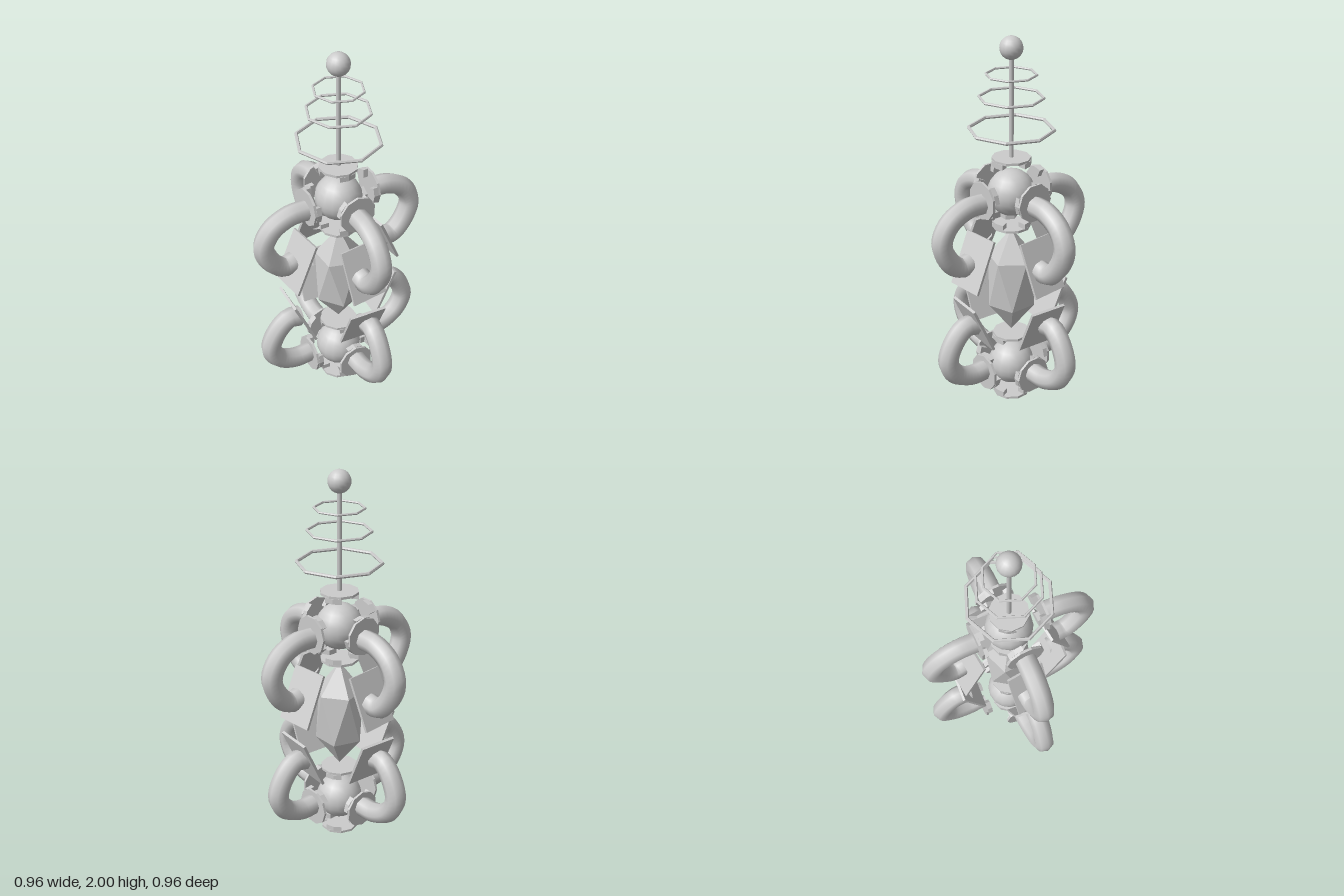
import * as THREE from 'three';

const grey = new THREE.MeshStandardMaterial({ color: 0xcccccc });
const facet = new THREE.MeshStandardMaterial({ color: 0xcccccc, flatShading: true });
const MID = 0.695;   // height of the middle of the body
const HUB = 0.503;   // distance of each ball from the middle
const UP = new THREE.Vector3(0, 1, 0);

function add(parent, name, geometry, material = facet, y = 0) {
  const mesh = new THREE.Mesh(geometry, material);
  mesh.name = name;
  mesh.position.y = y;
  parent.add(mesh);
  return mesh;
}

// block following the rim of a socket disc
function tabGeometry() {
  const a = 0.45, s = new THREE.Shape();
  [[0.1, -a], [0.1, 0], [0.1, a], [0.055, a], [0.055, -a]].forEach(([r, t], i) => {
    const x = r * Math.cos(t), y = r * Math.sin(t);
    i ? s.lineTo(x, y) : s.moveTo(x, y);
  });
  const g = new THREE.ExtrudeGeometry(s, { depth: 0.027, bevelEnabled: false });
  return g.rotateX(-Math.PI / 2);
}

// disc facing away from the ball, with three tabs on its inner face
function socket(direction) {
  const group = new THREE.Group();
  group.name = 'socket';
  add(group, 'socketDisc', new THREE.CylinderGeometry(0.1, 0.1, 0.013, 10), facet, 0.1835);
  for (let i = 0; i < 3; i++) {
    const tab = add(group, 'socketTab', tabGeometry(), facet, 0.151);
    tab.rotation.y = -Math.PI / 2 + i * Math.PI * 2 / 3;
  }
  group.quaternion.setFromUnitVectors(UP, direction);
  return group;
}

// curved arm reaching towards +z and ending on a tilted panel
function arm() {
  const group = new THREE.Group();
  group.name = 'arm';
  const path = [[0.183, 0.487], [0.28, 0.483], [0.38, 0.43], [0.426, 0.335],
    [0.385, 0.225], [0.315, 0.163], [0.255, 0.17]];
  const points = path.map(([z, y], i) => new THREE.Vector3(-0.004 * i, y, z));
  add(group, 'armTube', new THREE.TubeGeometry(new THREE.CatmullRomCurve3(points), 24, 0.054, 8),
    new THREE.MeshStandardMaterial({ color: 0xcccccc, side: THREE.DoubleSide }));
  const panel = add(group, 'panel', new THREE.BoxGeometry(0.2, 0.285, 0.014), facet, 0.178);
  panel.position.z = 0.248;
  panel.rotation.set(-0.42, 0.08, 0, 'YXZ');
  return group;
}

// ball with six sockets and four arms
function half(name) {
  const group = new THREE.Group();
  group.name = name;
  const hub = new THREE.Group();
  hub.name = 'hub';
  hub.position.y = HUB;
  add(hub, 'ball', new THREE.SphereGeometry(0.122, 16, 12), grey);
  hub.add(socket(UP), socket(new THREE.Vector3(0, -1, 0)));
  for (let i = 0; i < 4; i++) {
    const a = i * Math.PI / 2;
    hub.add(socket(new THREE.Vector3(Math.sin(a), 0, Math.cos(a))));
    const limb = arm();
    limb.rotation.y = a;
    group.add(limb);
  }
  group.add(hub);
  group.position.y = MID;
  return group;
}

export function createModel() {
  const model = new THREE.Group();
  model.name = 'device';

  // the lower half is the upper half turned over
  const lower = half('lowerHalf');
  lower.rotation.z = Math.PI;
  model.add(half('upperHalf'), lower);

  // crystal: stretched icosahedron standing on a point
  const crystal = new THREE.IcosahedronGeometry(0.14, 0);
  crystal.rotateZ(-Math.atan(2 / (1 + Math.sqrt(5)))).scale(1, 2.14, 1);
  add(model, 'crystal', crystal, facet, MID);

  // antenna
  add(model, 'antennaPole', new THREE.CylinderGeometry(0.012, 0.012, 0.54, 8), grey, 1.64);
  add(model, 'antennaBall', new THREE.SphereGeometry(0.058, 16, 12), grey, 1.942);
  for (const [y, r, t] of [[1.535, 0.213, 0.009], [1.697, 0.16, 0.007], [1.812, 0.125, 0.006]]) {
    add(model, 'antennaRing', new THREE.TorusGeometry(r, t, 6, 8).rotateX(Math.PI / 2), facet, y);
  }
  return model;
}
